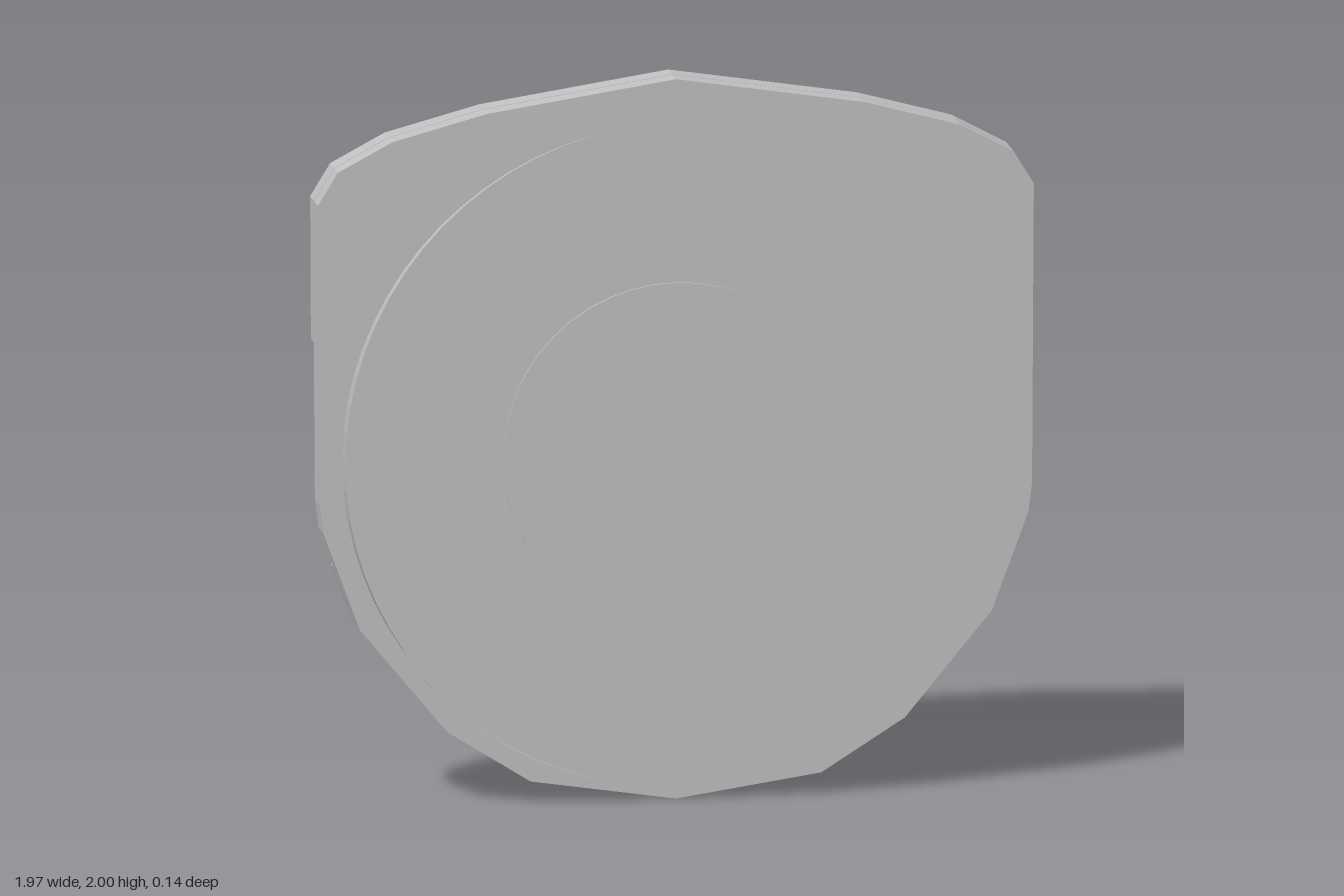
import * as THREE from 'three';

const CY = 0.96;                       // centre height of the round features
const BACK = -0.07, FRONT = 0.065, SEAM = 0.002;
const TOP = 1.285, BOTTOM = 0.66, INNER = -0.35; // thumb recess limits

// Right half of the outline, from the top point down to the bottom point
const upper = [[0, 2], [0.52, 1.92], [0.78, 1.85], [0.93, 1.77], [0.985, 1.68]];
const lower = [[0.98, 0.85], [0.97, 0.77], [0.87, 0.5], [0.63, 0.21], [0.4, 0.065], [0, 0.005]];
const mirror = (pts) => pts.map(([x, y]) => [-x, y]).reverse();
const toVectors = (pts) => pts.map(([x, y]) => new THREE.Vector2(x, y));

function createModel() {
  const model = new THREE.Group();
  const grey = new THREE.MeshStandardMaterial({ color: 0xc0c0c0 });
  grey.name = 'light grey';

  const add = (name, geometry) => {
    const mesh = new THREE.Mesh(geometry, grey);
    mesh.name = name;
    model.add(mesh);
    return mesh;
  };
  const slab = (shape, z0, z1) => new THREE.ExtrudeGeometry(shape, {
    depth: z1 - z0, bevelEnabled: false, curveSegments: 18,
  }).translate(0, 0, z0);

  const fullOutline = [...upper, ...lower, ...mirror(lower).slice(1), ...mirror(upper).slice(0, -1)];

  // Front shell with a fine tapering groove on one side
  const front = new THREE.Shape(toVectors(fullOutline));
  const groove = new THREE.Path();
  groove.absarc(0, CY, 0.92, Math.PI / 2, Math.PI * 1.5, false);
  groove.absellipse(0, CY, 0.909, 0.92, Math.PI * 1.5, Math.PI / 2, true);
  front.holes.push(groove);
  add('frontShell', slab(front, SEAM, FRONT));

  // Slightly lower core leaves a hairline seam between the shells
  const core = add('seamCore', slab(new THREE.Shape(toVectors(fullOutline)), -SEAM, SEAM));
  core.geometry.translate(0, -1, 0).scale(1, 0.994, 1).translate(0, 1, 0);

  // Raised round pad on the front
  const pad = new THREE.CylinderGeometry(0.477, 0.477, 0.008, 48).rotateX(Math.PI / 2);
  add('frontPad', pad.translate(0, CY, FRONT + 0.003));

  // Back rim: side notch, open thumb recess and two blind holes
  const R = 0.917;
  const topAngle = Math.PI - Math.asin((TOP - CY) / R);
  const bottomAngle = Math.PI + Math.asin((CY - BOTTOM) / R);
  const notch = [[0.985, 1.33], [0.93, 1.33], [0.93, 1.235], [0.985, 1.235]];
  const rim = new THREE.Shape(toVectors([
    ...upper, ...notch, ...lower, ...mirror(lower.slice(2)).slice(1), [-0.93, BOTTOM],
  ]));
  rim.absarc(0, CY, R, bottomAngle, topAngle + Math.PI * 2, false);
  // the long way round, from the lower recess edge to the upper one
  rim.lineTo(-0.983, TOP);
  mirror(upper).forEach(([x, y]) => rim.lineTo(x, y));
  for (const side of [-1, 1]) {
    const hole = new THREE.Path();
    hole.absarc(side * 0.65, 1.78, 0.072, 0, Math.PI * 2, true);
    rim.holes.push(hole);
  }
  add('backRim', slab(rim, BACK, -SEAM));

  // Round back cover, separated from the rim by a narrow groove
  const r = 0.906, c = 0.03;
  const a0 = Math.PI + Math.asin((CY - BOTTOM) / r);
  const a1 = Math.PI * 3 - Math.asin((TOP - CY) / r);
  const cover = new THREE.Shape();
  cover.absarc(0, CY, r, a0, a1, false);
  cover.lineTo(INNER - c, TOP);
  cover.quadraticCurveTo(INNER, TOP, INNER, TOP - c);
  cover.lineTo(INNER, BOTTOM + c);
  cover.quadraticCurveTo(INNER, BOTTOM, INNER - c, BOTTOM);
  add('backCover', slab(cover, BACK, -SEAM));

  // Thumb recess floor, sloping deeper towards the edge
  const floor = slab(new THREE.Shape(toVectors([
    [INNER, TOP], [INNER, BOTTOM], [-0.93, BOTTOM], [-0.97, 0.77], [-0.98, 0.85], [-0.983, TOP],
  ])), BACK, -SEAM);
  const p = floor.attributes.position;
  for (let i = 0; i < p.count; i++) {
    if (p.getZ(i) > -0.03) continue;
    const t = (INNER - p.getX(i)) / 0.633;
    p.setZ(i, THREE.MathUtils.lerp(BACK + 0.006, -0.02, t));
  }
  floor.computeVertexNormals();
  add('thumbRecessFloor', floor);

  return model;
}

export { createModel };
